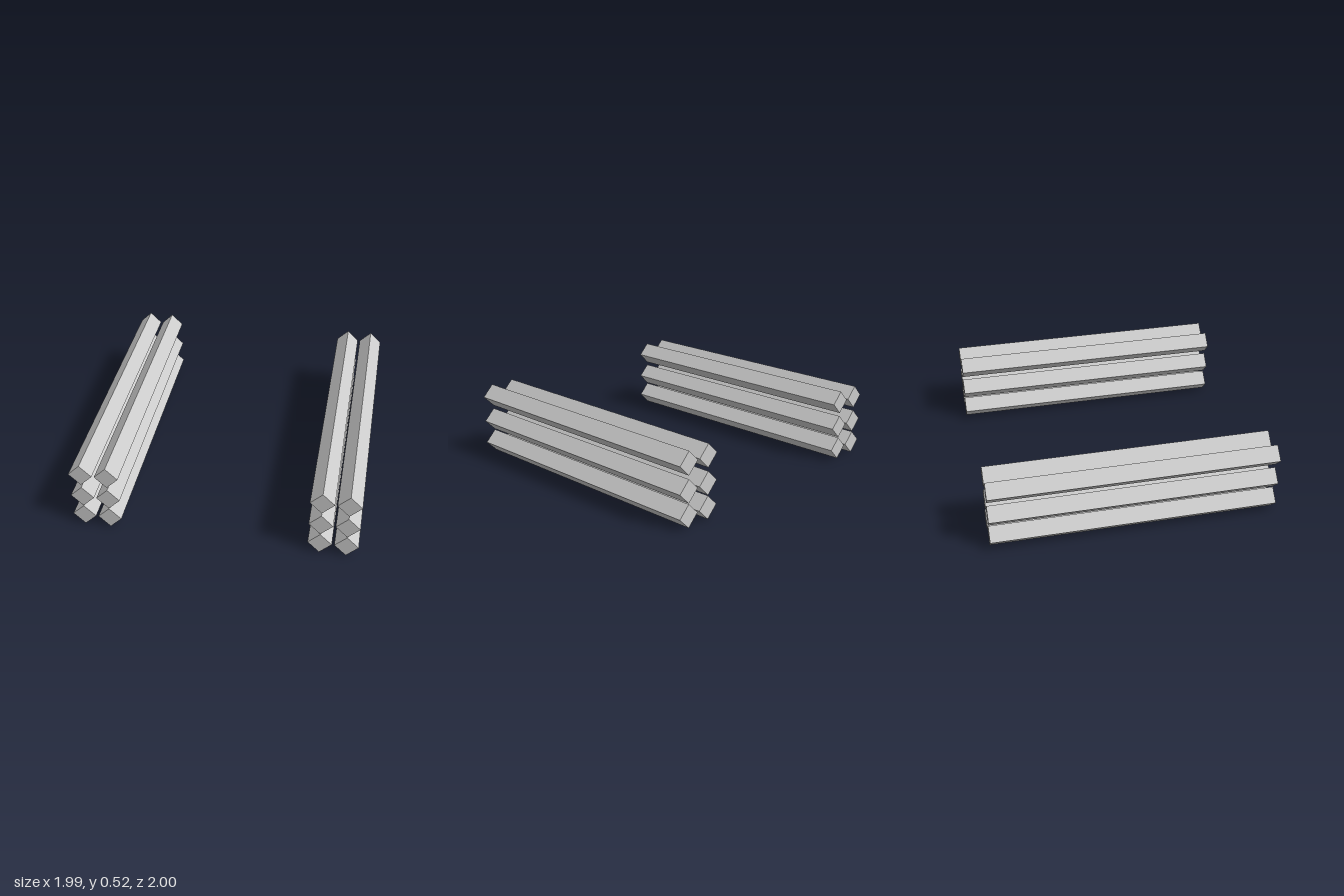
import * as THREE from 'three';

const HALF_DIAGONAL = 0.082;
const LENGTH = 2;

export function createModel() {
  const model = new THREE.Group();
  model.name = 'beamStacks';
  const material = new THREE.MeshStandardMaterial({ color: 0xcccccc, flatShading: true });

  // Square beam, turned to stand on its edge
  const side = HALF_DIAGONAL * Math.SQRT2;
  const beamGeometry = new THREE.BoxGeometry(side, side, LENGTH);
  beamGeometry.rotateZ(Math.PI / 4);

  // Two mirrored stacks, each two beams wide and three high
  const columns = [['inner', 0.731], ['outer', 0.912]];
  const rows = [['Lower', HALF_DIAGONAL], ['Middle', 0.251], ['Upper', 0.44]];
  for (const [stackName, sign] of [['leftStack', 1], ['rightStack', -1]]) {
    const stack = new THREE.Group();
    stack.name = stackName;
    for (const [column, x] of columns) {
      for (const [row, y] of rows) {
        const beam = new THREE.Mesh(beamGeometry, material);
        beam.name = `${column}${row}Beam`;
        beam.position.set(sign * x, y, 0);
        stack.add(beam);
      }
    }
    model.add(stack);
  }
  return model;
}
